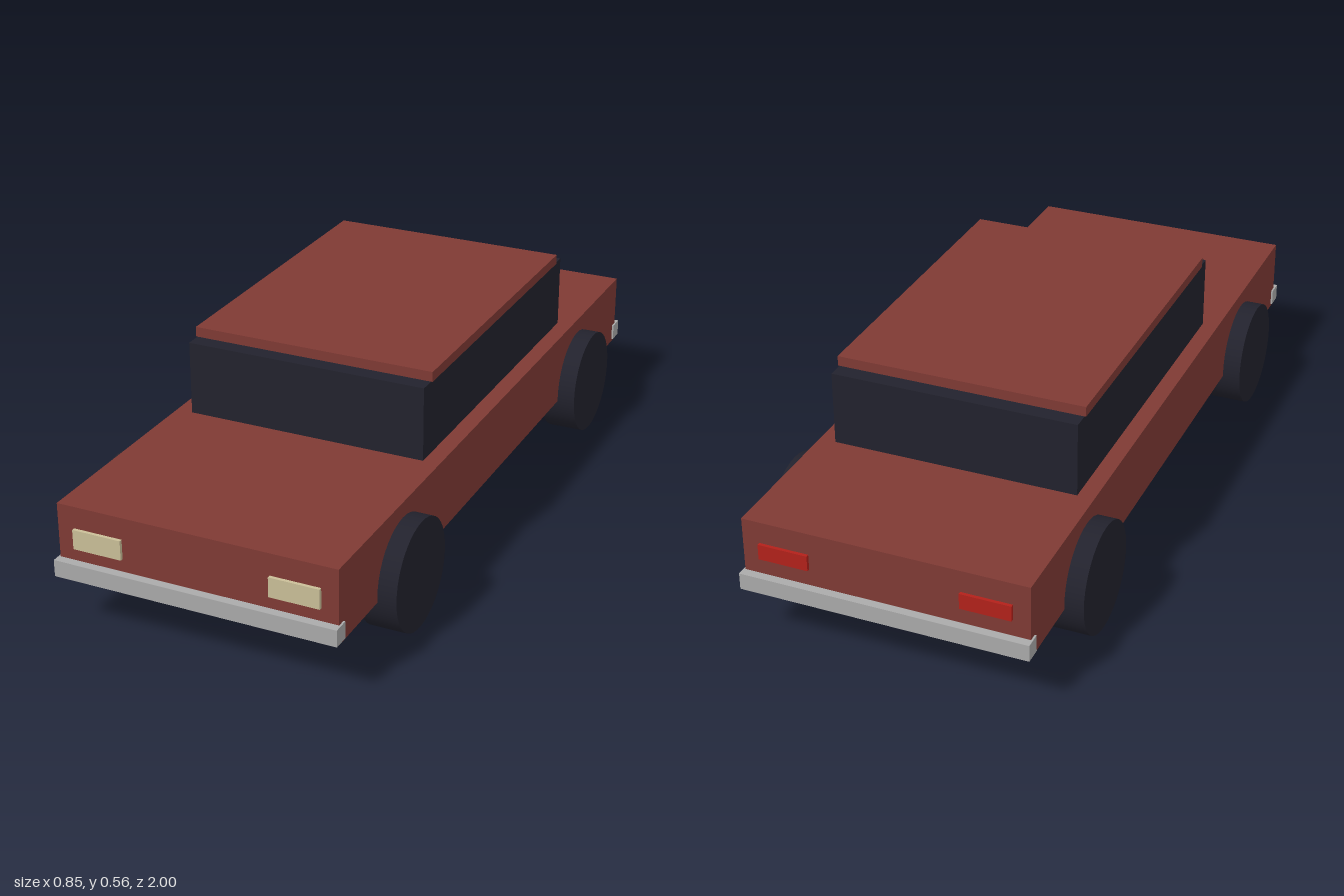
import * as THREE from 'three';

const mat = (name, color) => {
  const m = new THREE.MeshStandardMaterial({ color });
  m.name = name;
  return m;
};

export function createModel() {
  const car = new THREE.Group();
  car.name = 'car';

  const paint = mat('red paint', 0x7f3a34);
  const dark = mat('dark glass and rubber', 0x22222d);
  const chrome = mat('bumper grey', 0xaaaaaa);
  const cream = mat('headlight cream', 0xcabf98);
  const red = mat('tail light red', 0xb3211a);

  // Box given by its lower and upper corners
  const box = (name, material, [x0, y0, z0], [x1, y1, z1]) => {
    const mesh = new THREE.Mesh(new THREE.BoxGeometry(x1 - x0, y1 - y0, z1 - z0), material);
    mesh.position.set((x0 + x1) / 2, (y0 + y1) / 2, (z0 + z1) / 2);
    mesh.name = name;
    car.add(mesh);
  };

  // Body, cabin and roof
  box('body', paint, [-0.377, 0.135, -0.977], [0.377, 0.335, 0.977]);
  box('cabin', dark, [-0.332, 0.335, -0.575], [0.332, 0.535, 0.4]);
  box('roof', paint, [-0.336, 0.535, -0.531], [0.336, 0.562, 0.356]);

  // Bumpers
  box('frontBumper', chrome, [-0.382, 0.143, 0.955], [0.382, 0.188, 1]);
  box('rearBumper', chrome, [-0.382, 0.143, -1], [0.382, 0.188, -0.955]);

  for (const [side, s] of [['left', 1], ['right', -1]]) {
    // Lights
    const a = s > 0 ? 0.199 : -0.332, b = a + 0.133;
    box(side + 'Headlight', cream, [a, 0.223, 0.977], [b, 0.276, 0.986]);
    box(side + 'TailLight', red, [a, 0.234, -0.986], [b, 0.276, -0.977]);

    // Wheels
    for (const [end, z] of [['Front', 0.622], ['Rear', -0.622]]) {
      const wheel = new THREE.Mesh(new THREE.CylinderGeometry(0.147, 0.147, 0.098, 40), dark);
      wheel.rotation.z = Math.PI / 2;
      wheel.position.set(s * 0.378, 0.147, z);
      wheel.name = side + end + 'Wheel';
      car.add(wheel);
    }
  }
  return car;
}
